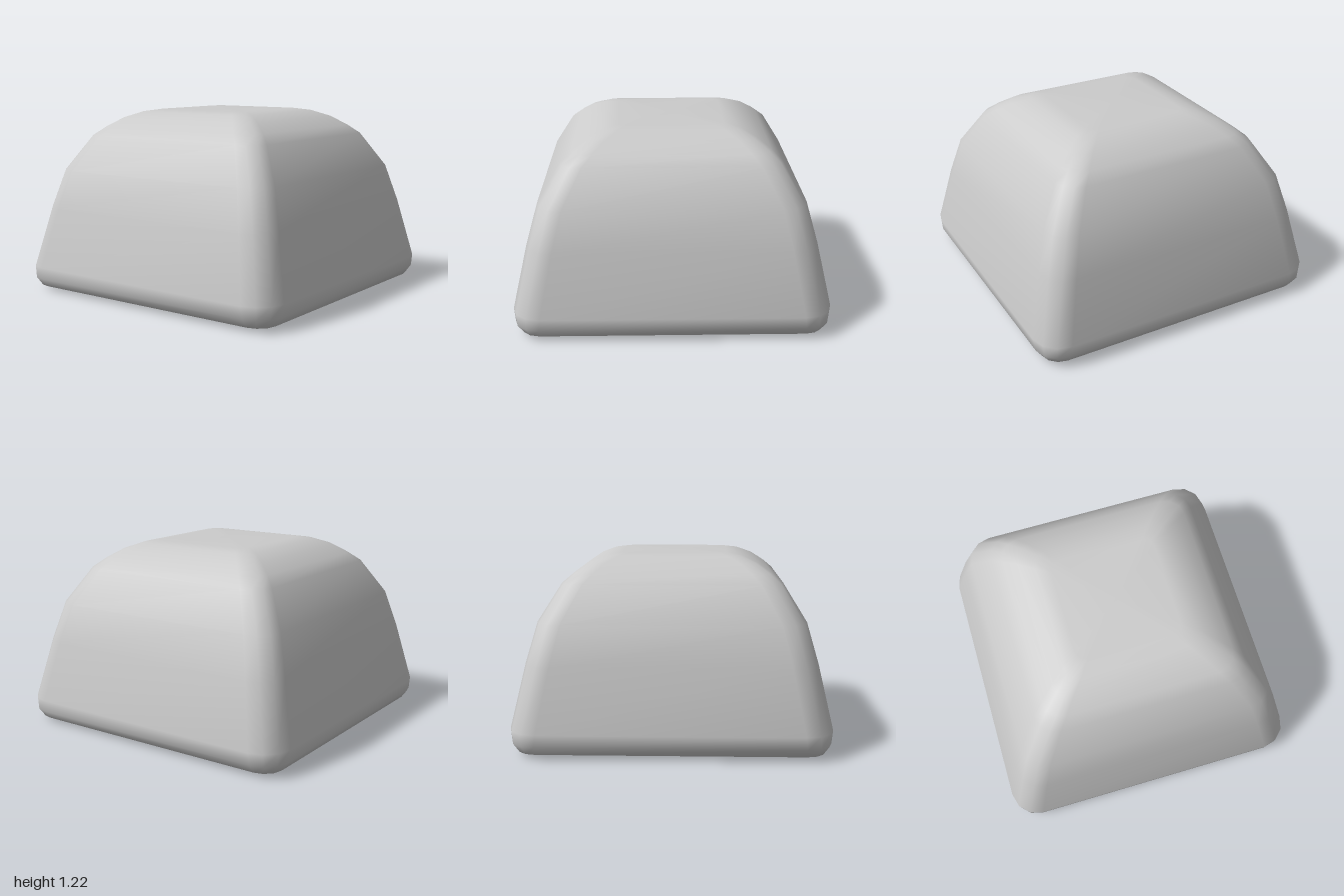
import * as THREE from 'three';

// Stacks rounded-square rings [y, half width, corner radius] into a closed smooth shell
function loftRoundedSquares(rings, cornerSteps) {
  const pos = [], index = [];
  const n = 4 * (cornerSteps + 1);
  for (const [y, half, r] of rings) {
    for (let c = 0; c < 4; c++) {
      const mid = Math.PI / 4 + c * Math.PI / 2;
      const cx = Math.sign(Math.cos(mid)) * (half - r);
      const cz = Math.sign(Math.sin(mid)) * (half - r);
      for (let s = 0; s <= cornerSteps; s++) {
        const a = (c + s / cornerSteps) * Math.PI / 2;
        pos.push(cx + r * Math.cos(a), y, cz + r * Math.sin(a));
      }
    }
  }
  const bottom = rings.length * n, top = bottom + 1, last = (rings.length - 1) * n;
  pos.push(0, rings[0][0], 0, 0, rings[rings.length - 1][0], 0);
  for (let i = 0; i < n; i++) {
    const j = (i + 1) % n;
    for (let k = 0; k < last; k += n) {
      index.push(k + i, k + n + i, k + j, k + j, k + n + i, k + n + j);
    }
    index.push(bottom, i, j, top, last + j, last + i);
  }
  const geometry = new THREE.BufferGeometry();
  geometry.setAttribute('position', new THREE.Float32BufferAttribute(pos, 3));
  geometry.setIndex(index);
  geometry.computeVertexNormals();
  return geometry;
}

export function createModel() {
  const group = new THREE.Group();
  group.name = 'roundedBlock';

  // Rolled lower edge, tapering walls, broad rounded shoulder, flat top
  const rings = [
    [0, 0.87, 0.06],
    [0.025, 0.95, 0.12],
    [0.08, 0.99, 0.16],
    [0.16, 1, 0.18],
    [0.56, 0.91, 0.17],
    [0.81, 0.84, 0.16],
    [1.04, 0.7, 0.14],
    [1.1, 0.63, 0.13],
    [1.16, 0.54, 0.11],
    [1.2, 0.44, 0.09],
    [1.215, 0.345, 0.06],
  ];
  const body = new THREE.Mesh(
    loftRoundedSquares(rings, 3),
    new THREE.MeshStandardMaterial({ color: 0xcccccc }),
  );
  body.name = 'body';
  group.add(body);
  return group;
}
